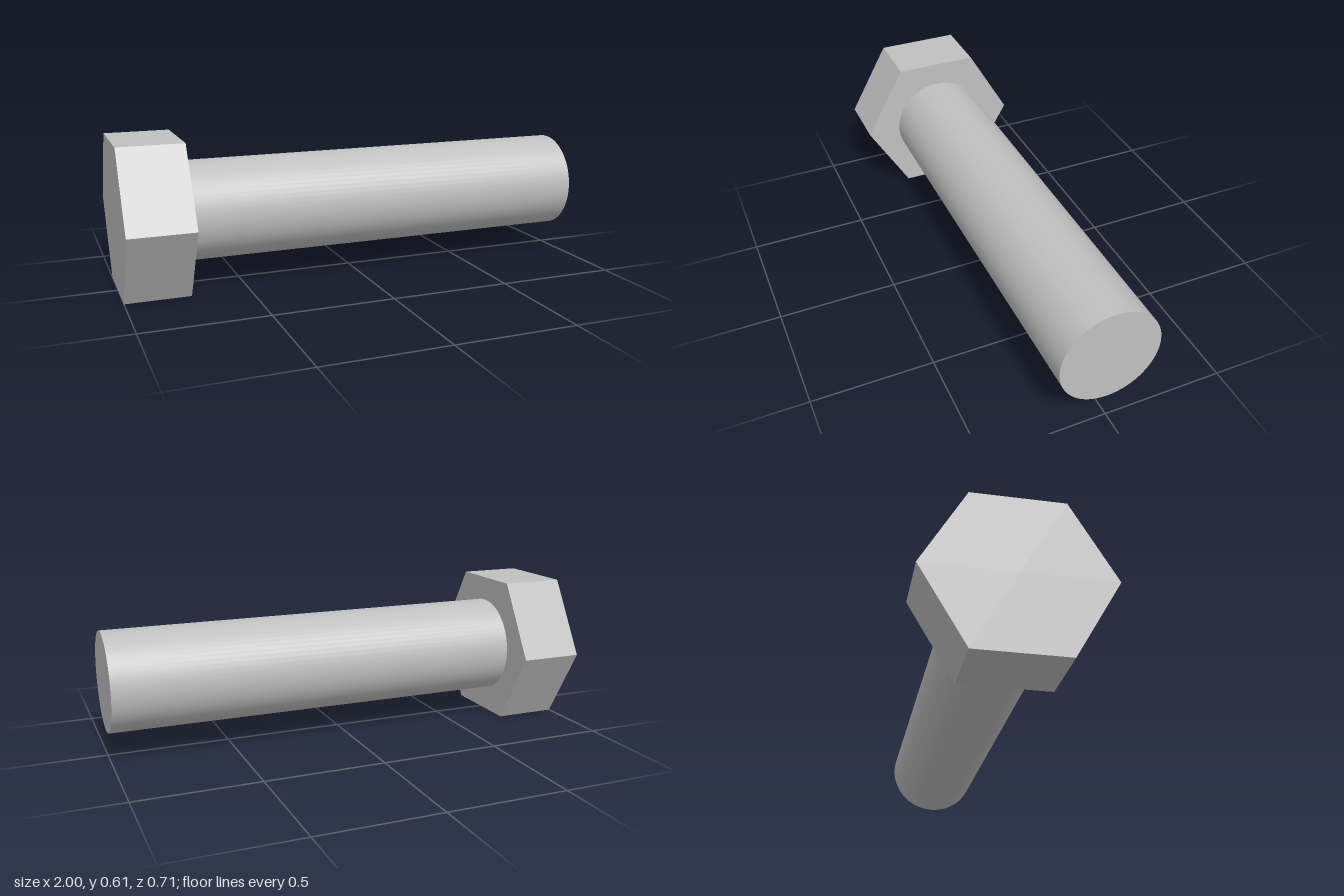
import * as THREE from 'three';

const HEX_RADIUS = 0.355;
const SHANK_RADIUS = 0.205;
const AXIS_HEIGHT = HEX_RADIUS * Math.sqrt(3) / 2; // the head rests on one flat
const HEAD_START = -1, HEAD_END = -0.735, SHANK_END = 1;

// Cylinder or prism lying along x between two stations
function bar(name, radius, sides, x0, x1, material) {
  const geometry = new THREE.CylinderGeometry(radius, radius, x1 - x0, sides);
  geometry.rotateZ(-Math.PI / 2);
  const mesh = new THREE.Mesh(geometry, material);
  mesh.name = name;
  mesh.position.set((x0 + x1) / 2, AXIS_HEIGHT, 0);
  return mesh;
}

export function createModel() {
  const steel = new THREE.MeshStandardMaterial({ color: 0xc0c0c0 });
  steel.name = 'steel';

  const bolt = new THREE.Group();
  bolt.name = 'hexBolt';

  // Hexagonal head with crisp flats
  const head = bar('head', HEX_RADIUS, 6, HEAD_START, HEAD_END, steel);
  head.geometry = head.geometry.toNonIndexed();
  head.geometry.computeVertexNormals();

  // Smooth round shank
  const shank = bar('shank', SHANK_RADIUS, 64, HEAD_END, SHANK_END, steel);

  bolt.add(head, shank);
  return bolt;
}
